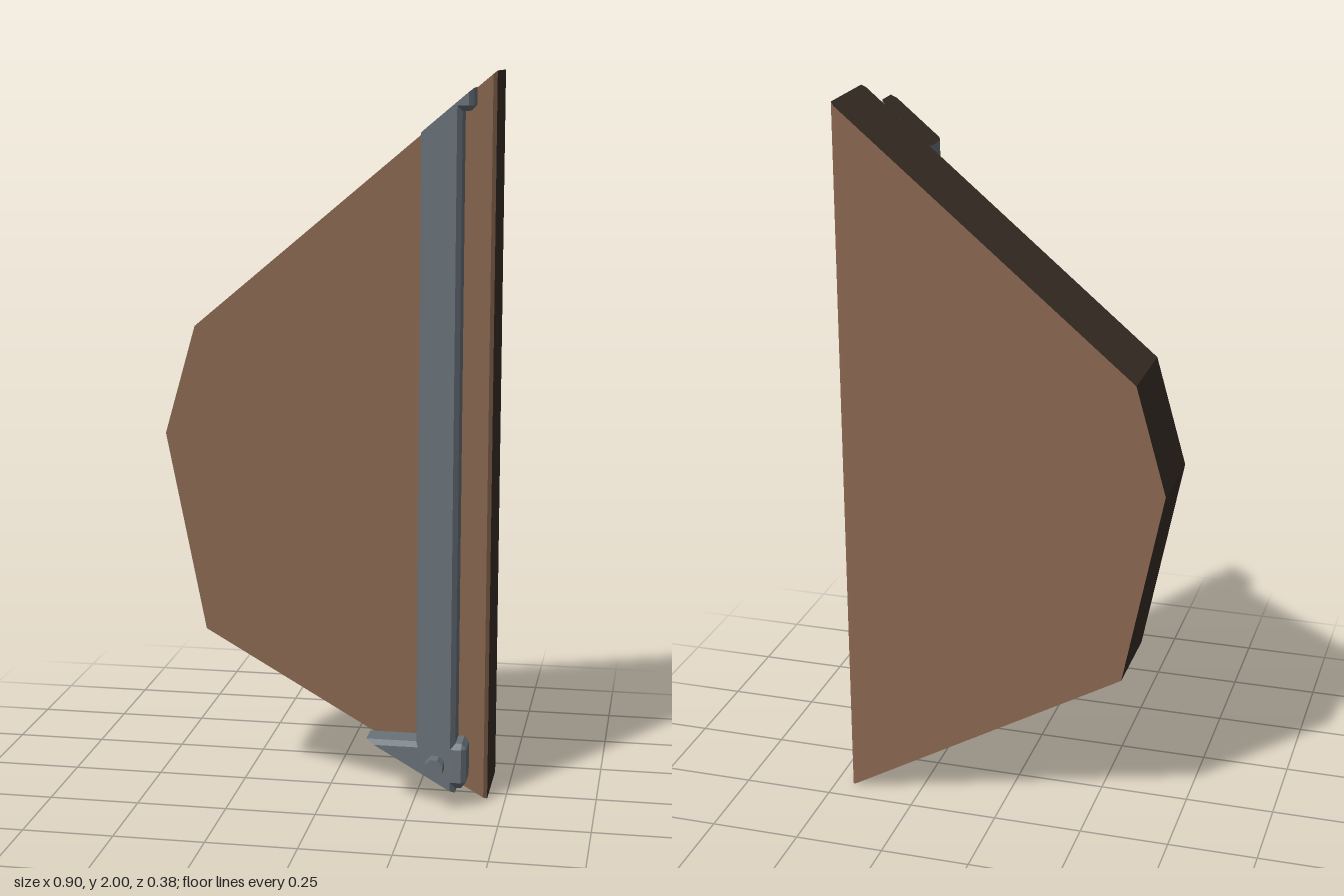
import * as THREE from 'three';
import { ConvexGeometry } from 'three/addons/geometries/ConvexGeometry.js';

const mat = (name, color) => {
  const m = new THREE.MeshStandardMaterial({ color });
  m.name = name;
  return m;
};

// sloped cut lines that trim the board and its fittings
const topCut = x => 2 - (0.45 - x) * 0.841;
const bottomCut = x => (0.45 - x) * 0.572;
const bottomCutX = y => 0.45 - y / 0.572;

// convex solid whose faces use mats[1] where isSecond(normal) holds
function solid(name, pts, mats, isSecond) {
  const geo = new ConvexGeometry(pts.map(p => new THREE.Vector3(...p)));
  const n = geo.attributes.normal;
  for (let i = 0; i < n.count; i += 3) {
    geo.addGroup(i, 3, isSecond(n.getX(i), n.getY(i), n.getZ(i)) ? 1 : 0);
  }
  const mesh = new THREE.Mesh(geo, mats);
  mesh.name = name;
  return mesh;
}

export function createModel() {
  const group = new THREE.Group();
  group.name = 'brokenDoorPiece';
  const wood = mat('wood', 0x8a6750);
  const dark = mat('darkWood', 0x3a3027);
  const metal = mat('metal', 0x69737a);
  const back = 0.055, front = 0.15, c = 0.013;
  const isCut = (x, y, z) => x < -0.4 && Math.abs(y) > 0.5 && Math.abs(z) < 0.05;
  const add = (name, pts) => group.add(solid(name, pts, [metal, dark], isCut));

  // board: thick slab with a bevelled straight edge
  const board = [];
  for (const z of [-0.19, 0.055]) {
    for (const [x, y] of [[-0.37, 1.31], [-0.455, 1.01], [-0.345, 0.455]]) board.push([x, y, z]);
    for (const cut of [topCut, bottomCut]) {
      board.push([0.44, cut(0.44), z], [0.45, cut(0.45), z - Math.sign(z) * 0.01]);
    }
  }
  group.add(solid('board', board, [dark, wood], (x, y, z) => Math.abs(z) > 0.5));

  // long metal strip, trimmed by both cuts
  const strip = [];
  for (const [z, inset] of [[back, 1], [back + c, 0], [front - c, 0], [front, 1]]) {
    for (const x of [0.262 + inset * 0.006, 0.37 - inset * c]) {
      strip.push([x, topCut(x), z], [x, bottomCut(x), z]);
    }
  }
  add('strip', strip);

  // brackets on the outer side of the strip
  const lower = [], upper = [];
  for (const [zEdge, zIn] of [[back, back + c], [front, front - c]]) {
    for (const x of [0.35, 0.4 - c]) {
      lower.push([x, 0.078, zEdge], [x, 0.172, zEdge], [x, 0.06, zIn], [x, 0.187, zIn]);
      upper.push([x, 1.912, zEdge], [x, topCut(x), zEdge], [x, 1.898, zIn]);
    }
    lower.push([0.4, 0.078, zIn], [0.4, 0.172, zIn]);
    upper.push([0.4, 1.912, zIn], [0.4, topCut(0.4), zIn]);
  }
  add('lowerBracket', lower);
  add('upperBracket', upper);

  // pointed plate on the inner side at the bottom
  const spur = [];
  for (const [zEdge, zIn] of [[back, back + c], [front, front - c]]) {
    for (const [y, z] of [[0.187, zIn], [0.174, zEdge]]) {
      spur.push([bottomCutX(y), y, z], [0.28, y, z]);
    }
    spur.push([0.28, bottomCut(0.28), zEdge]);
  }
  add('spur', spur);

  // bolt head
  const boltGeo = new THREE.CylinderGeometry(0.027, 0.027, 0.05, 8).toNonIndexed();
  boltGeo.computeVertexNormals();
  boltGeo.rotateY(Math.PI / 8);
  boltGeo.rotateX(Math.PI / 2);
  const bolt = new THREE.Mesh(boltGeo, metal);
  bolt.name = 'bolt';
  bolt.position.set(0.316, 0.128, 0.165);
  group.add(bolt);
  return group;
}
